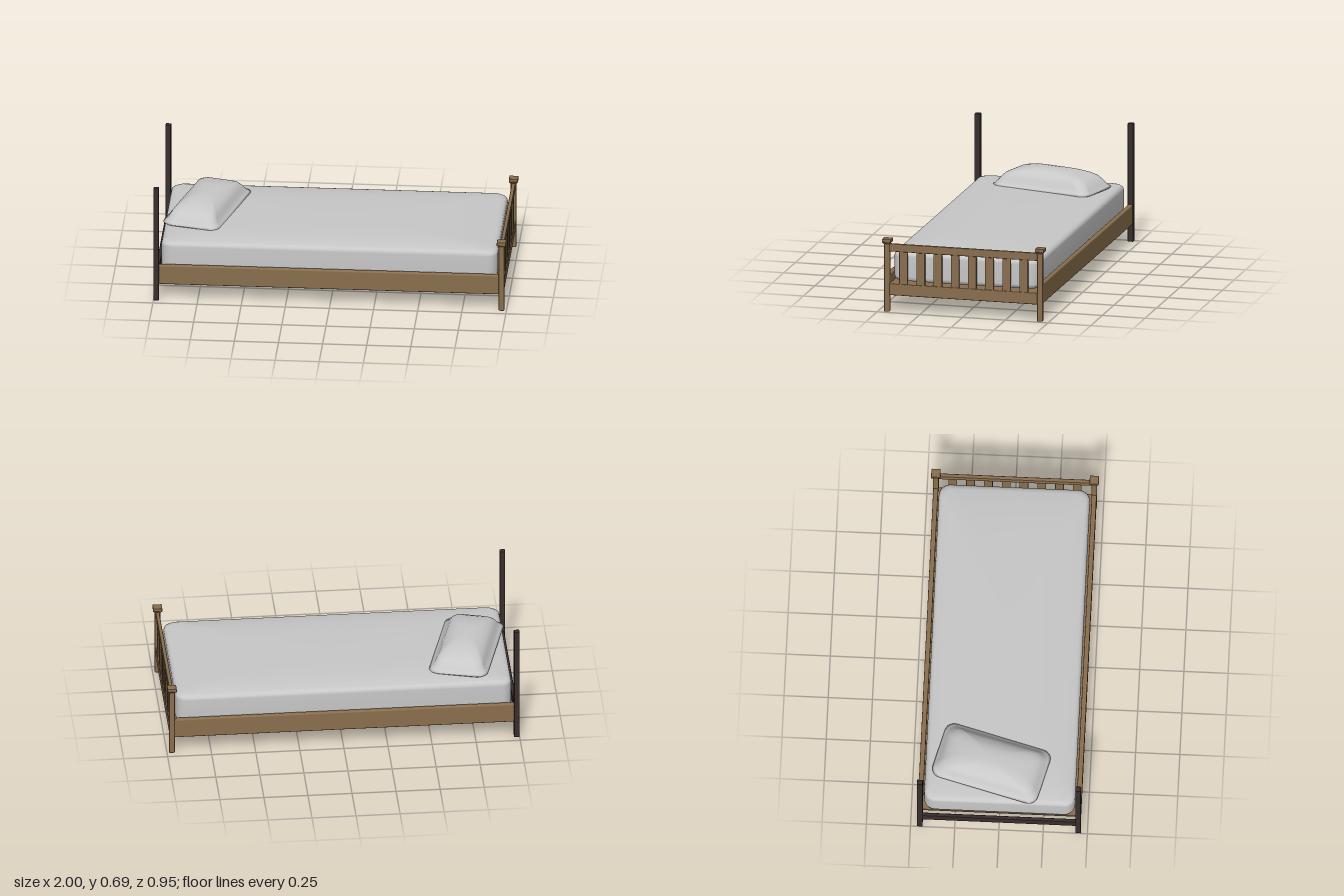
import * as THREE from 'three';
import { RoundedBoxGeometry } from 'three/addons/geometries/RoundedBoxGeometry.js';

const mat = (name, color) => {
  const m = new THREE.MeshStandardMaterial({ color });
  m.name = name;
  return m;
};

// Closed soft body: stacked rounded rectangles, each ring = [y, insetX, insetZ]
function softBody(halfX, halfZ, radius, rings) {
  const pos = [], idx = [], steps = 6, n = 4 * (steps + 1);
  for (const [y, ix, iz] of rings) {
    const hx = halfX - ix, hz = halfZ - iz;
    const r = Math.min(radius, hx * 0.8, hz * 0.8);
    for (let c = 0; c < 4; c++) {
      const sx = c === 0 || c === 3 ? 1 : -1, sz = c < 2 ? -1 : 1;
      for (let k = 0; k <= steps; k++) {
        const a = (c + k / steps) * Math.PI / 2;
        pos.push(sx * (hx - r) + r * Math.cos(a), y, sz * (hz - r) - r * Math.sin(a));
      }
    }
  }
  for (let i = 0; i < rings.length - 1; i++) {
    for (let j = 0; j < n; j++) {
      const a = i * n + j, b = i * n + (j + 1) % n;
      idx.push(a, b, b + n, a, b + n, a + n);
    }
  }
  // bottom and top caps
  const last = rings.length - 1, bottom = pos.length / 3, top = bottom + 1;
  pos.push(0, rings[0][0], 0, 0, rings[last][0], 0);
  for (let j = 0; j < n; j++) {
    const k = (j + 1) % n;
    idx.push(bottom, k, j, top, last * n + j, last * n + k);
  }
  const g = new THREE.BufferGeometry();
  g.setAttribute('position', new THREE.Float32BufferAttribute(pos, 3));
  g.setIndex(idx);
  g.computeVertexNormals();
  return g;
}

export function createModel() {
  const bed = new THREE.Group();
  bed.name = 'bed';
  const wood = mat('wood', 0x8a6f4e);
  const darkWood = mat('darkWood', 0x392e2e);
  const fabric = mat('fabric', 0xc8c8c8);

  const add = (name, geometry, material, x = 0, y = 0, z = 0) => {
    const m = new THREE.Mesh(geometry, material);
    m.name = name;
    m.position.set(x, y, z);
    bed.add(m);
    return m;
  };
  // Softened board given by its limits on each axis
  const board = (name, material, x0, x1, y0, y1, z0, z1, radius = 0.005) =>
    add(name, new RoundedBoxGeometry(x1 - x0, y1 - y0, z1 - z0, 2, radius), material,
      (x0 + x1) / 2, (y0 + y1) / 2, (z0 + z1) / 2);

  const footX = 0.972;
  // flared neck under each post cap
  const neck = new THREE.CylinderGeometry(0.052 / Math.SQRT2, 0.034 / Math.SQRT2, 0.012, 4)
    .rotateY(Math.PI / 4).toNonIndexed();
  neck.computeVertexNormals();

  for (const s of [-1, 1]) {
    const z = s * 0.448;
    // head posts
    board('headPost', darkWood, -1, -0.969, 0, 0.688, z - 0.016, z + 0.016, 0.003);
    // foot posts with flared caps
    board('footPost', wood, footX - 0.016, footX + 0.016, 0, 0.402, z - 0.016, z + 0.016, 0.006);
    add('footPostCapNeck', neck, wood, footX, 0.401, z);
    board('footPostCap', wood, footX - 0.026, footX + 0.026, 0.406, 0.425, z - 0.026, z + 0.026, 0.003);
    // side rails
    board('sideRail', wood, -0.972, 0.96, 0.1, 0.217, z - 0.014, z + 0.014, 0.008);
  }

  // footboard rails and slats
  board('footboardLowerRail', wood, 0.962, 0.983, 0.097, 0.164, -0.436, 0.436);
  board('footboardUpperRail', wood, 0.962, 0.983, 0.351, 0.396, -0.436, 0.436);
  for (let i = 0; i < 8; i++) {
    const z = -0.352 + i * 0.1006;
    board('footboardSlat', wood, 0.965, 0.98, 0.155, 0.36, z - 0.0245, z + 0.0245, 0.002);
  }

  // head rail, and the base panel recessed between the rails
  board('headRail', darkWood, -0.994, -0.974, 0.1, 0.165, -0.436, 0.436);
  board('basePanel', wood, -0.955, 0.965, 0.148, 0.163, -0.436, 0.436, 0.002);

  // mattress with a softly crowned top
  add('mattress', softBody(0.953, 0.427, 0.06, [
    [0.171, 0.03, 0.03], [0.174, 0.012, 0.012], [0.185, 0.002, 0.002], [0.2, 0, 0],
    [0.315, 0, 0], [0.33, 0.004, 0.004], [0.34, 0.016, 0.014], [0.345, 0.035, 0.03],
    [0.353, 0.12, 0.08], [0.359, 0.26, 0.15], [0.362, 0.5, 0.27],
  ]), fabric, -0.008);

  // pillow lying askew at the head: thin rim, steep sides, broad top
  const pillow = add('pillow', softBody(0.168, 0.312, 0.055, [
    [0.345, 0.04, 0.05], [0.352, 0.01, 0.01], [0.362, 0, 0], [0.37, 0.012, 0.01],
    [0.385, 0.024, 0.022], [0.405, 0.034, 0.036], [0.425, 0.046, 0.058],
    [0.44, 0.064, 0.09], [0.453, 0.088, 0.14], [0.461, 0.112, 0.19], [0.465, 0.14, 0.24],
  ]), fabric, -0.735, 0, -0.055);
  pillow.rotation.y = -0.263;

  return bed;
}
